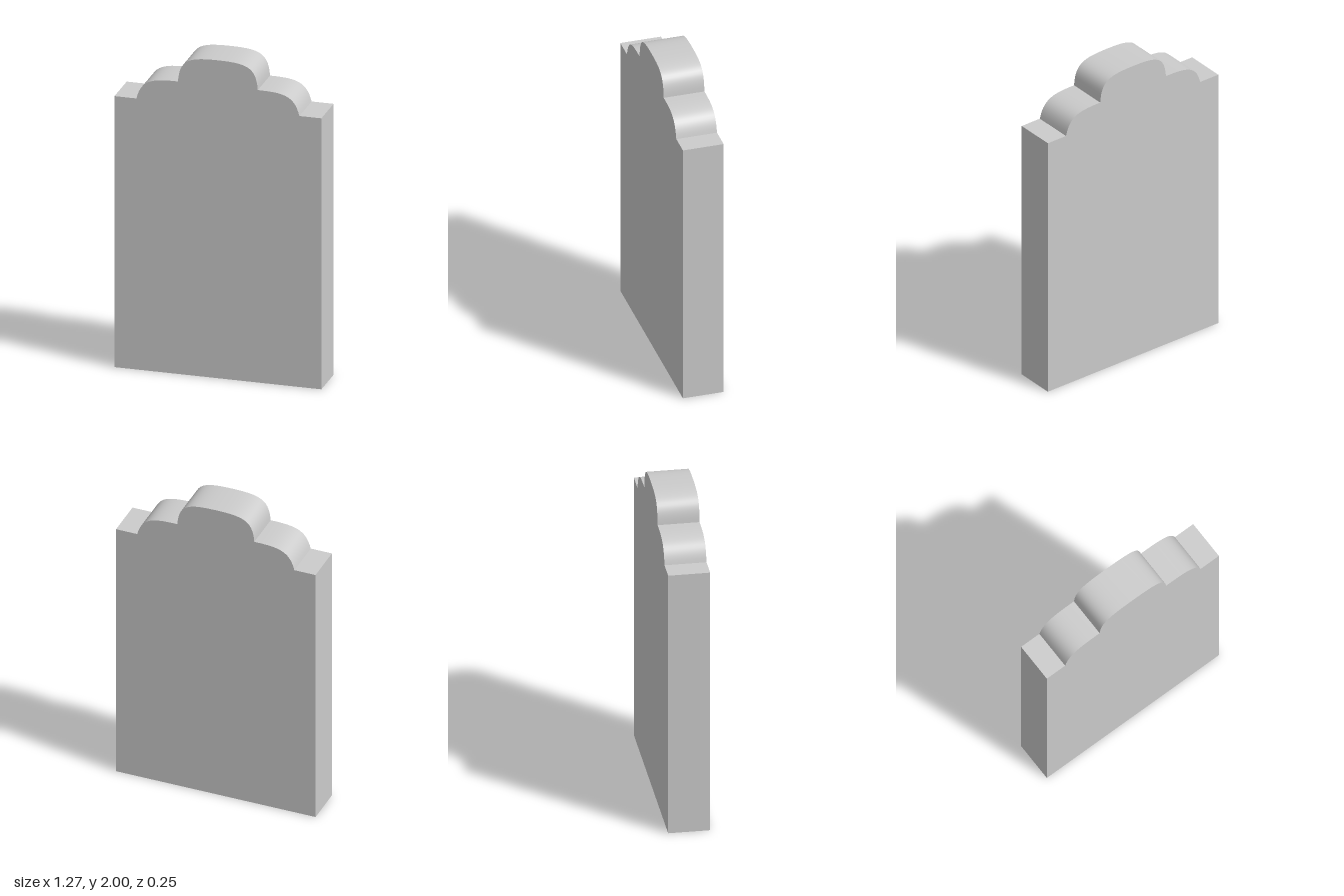
import * as THREE from 'three';
import { toCreasedNormals } from 'three/addons/utils/BufferGeometryUtils.js';

export function createModel() {
  const group = new THREE.Group();
  group.name = 'headstone';
  const depth = 0.25;

  // Outline: straight slab with a stepped, two-tier rounded crown
  const outline = new THREE.Shape();
  outline.moveTo(-0.635, 0);
  outline.lineTo(0.635, 0);
  outline.lineTo(0.635, 1.705);
  outline.lineTo(0.5, 1.705);
  outline.bezierCurveTo(0.47, 1.83, 0.4, 1.84, 0.245, 1.84);
  outline.bezierCurveTo(0.235, 1.98, 0.18, 2, 0, 2);
  outline.bezierCurveTo(-0.18, 2, -0.235, 1.98, -0.245, 1.84);
  outline.bezierCurveTo(-0.4, 1.84, -0.47, 1.83, -0.5, 1.705);
  outline.lineTo(-0.635, 1.705);
  outline.closePath();

  const geometry = new THREE.ExtrudeGeometry(outline, { depth, bevelEnabled: false, curveSegments: 14 });
  geometry.translate(0, 0, -depth / 2);

  // Smooth crown curves, sharp slab edges
  const slab = new THREE.Mesh(
    toCreasedNormals(geometry, 0.6),
    new THREE.MeshStandardMaterial({ color: 0xcccccc })
  );
  slab.name = 'stoneSlab';
  group.add(slab);
  return group;
}
